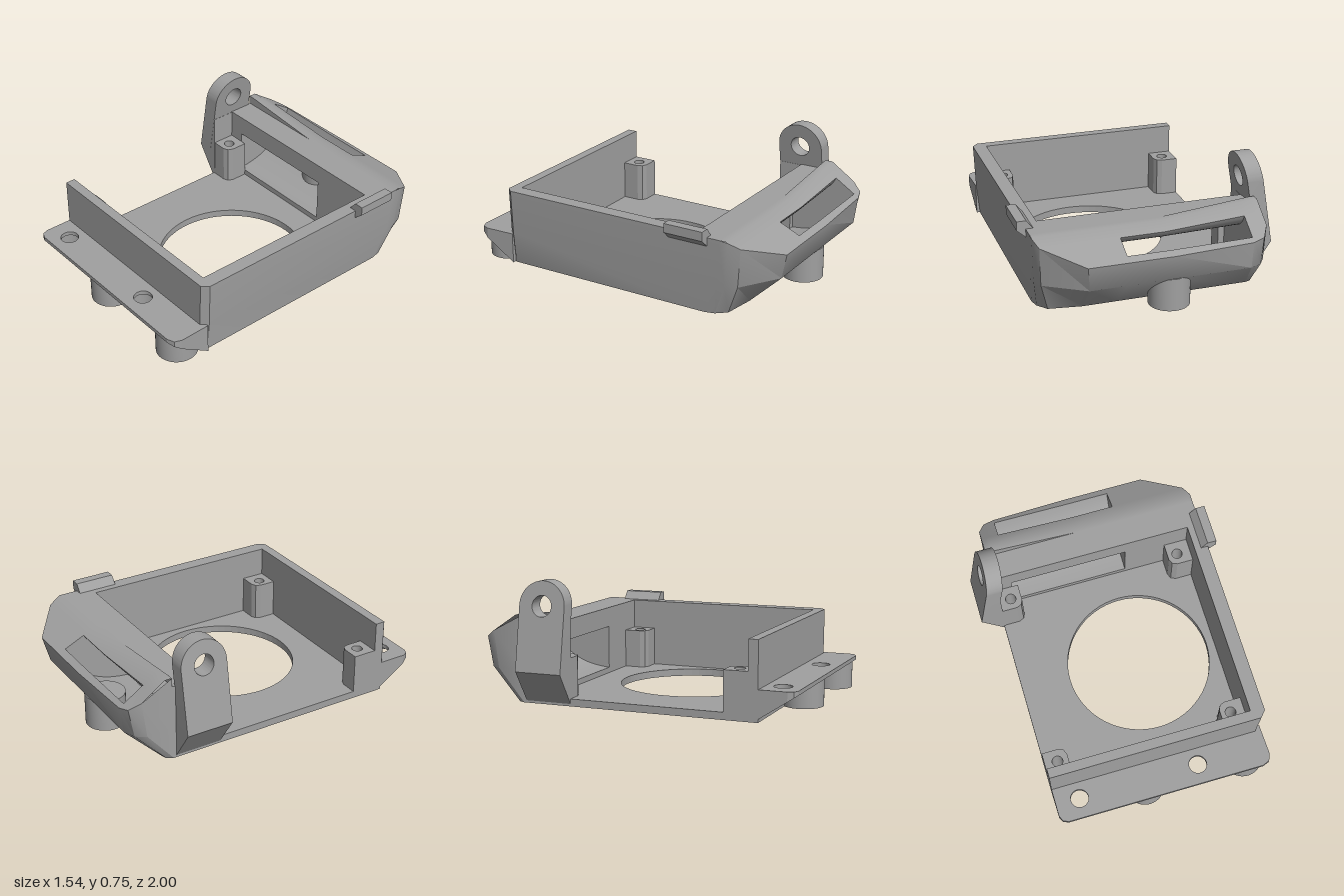
import * as THREE from 'three';
import { toCreasedNormals } from 'three/addons/utils/BufferGeometryUtils.js';

const plastic = new THREE.MeshStandardMaterial({ color: 0xa0a0a0, side: THREE.DoubleSide });
plastic.name = 'grey plastic';

const V = (x, y) => new THREE.Vector2(x, y);
const circle = (x, y, r) => new THREE.Path().absarc(x, y, r, 0, Math.PI * 2, true);

// plan outline (x, z) extruded downward from height top
function slab(points, holes, top, depth) {
  const s = new THREE.Shape(points.map(p => V(...p)));
  s.holes = holes;
  const g = new THREE.ExtrudeGeometry(s, { depth, bevelEnabled: false, curveSegments: 32 });
  return g.rotateX(Math.PI / 2).translate(0, top, 0);
}

// surface from a list of quads, each given by four corners
function quads(list) {
  const pos = [];
  for (const [a, b, c, d] of list) pos.push(...a, ...b, ...c, ...a, ...c, ...d);
  const g = new THREE.BufferGeometry();
  g.setAttribute('position', new THREE.Float32BufferAttribute(pos, 3));
  return toCreasedNormals(g, 0.6);
}

function loft(rows) {
  const list = [];
  for (let i = 0; i < rows.length - 1; i++)
    for (let j = 0; j < rows[i].length - 1; j++)
      list.push([rows[i][j], rows[i][j + 1], rows[i + 1][j + 1], rows[i + 1][j]]);
  return quads(list);
}

const RIM = 0.475, STEP = -0.705;
// sloping rear hood, raised toward the right end
function hoodY(x, z) {
  const ridge = RIM + 0.055 * THREE.MathUtils.clamp((-0.05 - x) / 0.56, 0, 1);
  return ridge + (0.36 - ridge) * THREE.MathUtils.clamp((-0.75 - z) / 0.25, 0, 1);
}

// shell columns: bottom x,z / middle x,z / top x,z
const columns = [
  [-0.64, -0.54, -0.64, -0.54, -0.64, -0.54],
  [-0.64, -0.7, -0.64, -0.704, -0.64, -0.704],
  [-0.64, -0.702, -0.64, -0.706, -0.64, -0.706],
  [-0.62, -0.74, -0.64, -0.87, -0.64, -0.9],
  [-0.59, -0.75, -0.6, -0.93, -0.6, -0.965],
  [-0.53, -0.75, -0.53, -0.96, -0.53, -0.985],
  [-0.05, -0.75, -0.05, -0.96, -0.05, -1],
  [0.22, -0.75, 0.22, -0.96, 0.22, -1],
  [0.42, -0.75, 0.44, -0.96, 0.46, -1],
  [0.62, -0.72, 0.68, -0.81, 0.69, -0.83],
  [0.67, -0.66, 0.705, -0.74, 0.715, -0.76],
  [0.685, -0.6, 0.705, -0.68, 0.715, -0.705],
  [0.685, 0.74, 0.705, 0.74, 0.715, 0.74],
  [0.66, 0.78, 0.67, 0.78, 0.68, 0.78],
  [-0.64, 0.78, -0.64, 0.78, -0.64, 0.78],
];

export function createModel() {
  const model = new THREE.Group();
  const add = (name, geometry) => {
    const m = new THREE.Mesh(geometry, plastic);
    m.name = name;
    model.add(m);
    return m;
  };
  const box = (name, x0, x1, y0, y1, z0, z1) =>
    add(name, new THREE.BoxGeometry(x1 - x0, y1 - y0, z1 - z0)
      .translate((x0 + x1) / 2, (y0 + y1) / 2, (z0 + z1) / 2));

  // outer skin, open on the right side
  add('outerShell', loft(columns.map(c => [
    [c[0], 0, c[1]], [c[2], 0.2, c[3]],
    [c[4], c[5] < STEP ? hoodY(c[4], c[5]) : RIM, c[5]],
  ])));

  // floor with fan opening and rear corner recess
  add('floor', slab(columns.map(c => [c[0], c[1]]),
    [circle(0.125, 0.09, 0.455), circle(0.55, -0.635, 0.075)], 0.045, 0.045));
  add('cornerRecess', new THREE.CircleGeometry(0.08, 32).rotateX(Math.PI / 2).translate(0.55, 0.044, -0.635));

  // inner walls and rim
  box('frontWall', -0.64, 0.64, 0.001, 0.474, 0.72, 0.779);
  box('leftWall', 0.63, 0.683, 0.001, 0.474, -0.54, 0.74);
  const rim = new THREE.Shape([[-0.64, -0.54], [-0.64, STEP], [0.715, STEP], [0.715, 0.74], [0.68, 0.78],
    [-0.64, 0.78], [-0.64, 0.72], [0.63, 0.72], [0.63, -0.54]].map(p => V(...p)));
  add('rim', new THREE.ShapeGeometry(rim).rotateX(Math.PI / 2).translate(0, RIM, 0));

  // rear hood with vent slot
  const X0 = -0.53, X1 = 0.22, stations = columns.slice(3, 11), rows = [STEP, -0.75, -0.83, -0.955, -1];
  const hoodPoint = (c, z) => {
    const zz = Math.max(z, c[5]);
    return [c[4], hoodY(c[4], zz), zz];
  };
  const cells = [];
  for (let i = 0; i < stations.length - 1; i++)
    for (let j = 0; j < 4; j++) {
      const a = stations[i], b = stations[i + 1];
      if (j === 2 && a[4] >= X0 && b[4] <= X1) continue;
      cells.push([hoodPoint(a, rows[j]), hoodPoint(b, rows[j]), hoodPoint(b, rows[j + 1]), hoodPoint(a, rows[j + 1])]);
    }
  add('rearHood', quads(cells));
  add('hoodStep', quads([[[-0.64, RIM, STEP], [-0.05, RIM, STEP], [-0.05, RIM, STEP], [-0.61, 0.53, STEP]],
    [[-0.64, RIM, STEP], [-0.61, RIM, STEP], [-0.61, 0.53, STEP], [-0.64, 0.53, STEP]]]));

  // inner rear wall with window
  const wall = new THREE.Shape([V(-0.64, 0.02), V(0.64, 0.02), V(0.64, RIM), V(-0.64, RIM)]);
  wall.holes.push(new THREE.Path([V(X0, 0.08), V(X0, 0.35), V(X1, 0.35), V(X1, 0.08)]));
  add('rearInnerWall', new THREE.ShapeGeometry(wall).translate(0, 0, -0.54));

  // curved duct from window to slot
  const section = x => {
    const low = new THREE.QuadraticBezierCurve(V(-0.54, 0.08), V(-0.88, 0.1), V(-0.955, hoodY(x, -0.955)));
    const high = new THREE.QuadraticBezierCurve(V(-0.54, 0.35), V(-0.78, 0.34), V(-0.83, hoodY(x, -0.83)));
    return [low, high].map(c => c.getPoints(12).map(p => [x, p.y, p.x]));
  };
  const ends = [X0, -0.05, X1].map(section);
  add('ductFloor', loft(ends.map(e => e[0])));
  add('ductRoof', loft(ends.map(e => e[1])));
  for (const e of [ends[0], ends[2]]) add('ductSide', loft(e));

  // screw posts in the four corners
  for (const sx of [-1, 1])
    for (const sz of [-1, 1]) {
      const cx = sx < 0 ? -0.64 : 0.63, cz = sz < 0 ? -0.54 : 0.72, w = 0.148;
      const at = (u, v) => [cx - sx * u * w, cz - sz * v * w];
      const hx = sx < 0 ? -0.56 : 0.545, hz = sz < 0 ? -0.46 : 0.645;
      add('screwPost', slab([at(0, 0), at(1, 0), at(1, 0.7), at(0.91, 0.91), at(0.7, 1), at(0, 1)],
        [circle(hx, hz, 0.033)], 0.29, 0.25));
    }

  // front flange: thin plate over a wedge with round pockets
  const flange = [[-0.64, 0.75], [0.705, 0.75], [0.71, 0.94], [0.693, 0.982], [0.65, 1], [-0.59, 1], [-0.625, 0.985], [-0.64, 0.95]];
  const holesX = [-0.49, 0.265];
  add('flangePlate', slab(flange, holesX.map(x => circle(x, 0.88, 0.055)), 0.19, 0.025));
  const wedge = slab(flange, holesX.map(x => circle(x, 0.88, 0.094)), 0.165, 0.165);
  const p = wedge.attributes.position;
  for (let i = 0; i < p.count; i++)
    if (p.getY(i) < 0.08) p.setY(i, Math.max(0, (p.getZ(i) - 0.75) / 0.25 * 0.165));
  wedge.computeVertexNormals();
  add('flangeWedge', wedge);

  // feet with recessed undersides
  for (const [x, z, h] of [[-0.07, 0.872, 0.18], [0.57, 0.872, 0.18], [-0.07, -0.845, 0.2]]) {
    const profile = [V(0, 0.035), V(0.085, 0.035), V(0.085, 0), V(0.123, 0), V(0.123, h), V(0, h)];
    add('foot', toCreasedNormals(new THREE.LatheGeometry(profile, 40), 0.6).translate(x, 0, z));
  }

  // leaning hinge lug with ring top
  const lug = new THREE.Shape();
  lug.moveTo(-0.148, 0.21).lineTo(0.148, 0.21).lineTo(0.148, 0.6);
  lug.absarc(0, 0.6, 0.148, 0, Math.PI, false);
  lug.closePath();
  lug.holes.push(circle(0, 0.6, 0.063));
  const lugGeo = new THREE.ExtrudeGeometry(lug, { depth: 0.1, bevelEnabled: false, curveSegments: 28 });
  lugGeo.rotateY(-Math.PI / 2).translate(-0.675, 0, -0.537);
  const lp = lugGeo.attributes.position;
  for (let i = 0; i < lp.count; i++) lp.setX(i, lp.getX(i) + (lp.getY(i) - 0.21) * 0.168);
  lugGeo.computeVertexNormals();
  add('hingeLug', toCreasedNormals(lugGeo, 0.6));

  // profiles (x, y) extruded along z
  const bar = (name, pts, z0, z1) =>
    add(name, new THREE.ExtrudeGeometry(new THREE.Shape(pts.map(q => V(...q))),
      { depth: z1 - z0, bevelEnabled: false }).translate(0, 0, z0));
  bar('lugGusset', [[-0.63, 0], [-0.63, 0.47], [-0.73, 0.47], [-0.774, 0.21]], -0.684, -0.39);
  bar('latch', [[0.66, 0.44], [0.71, 0.42], [0.767, 0.47], [0.767, 0.525], [0.71, 0.525], [0.67, 0.475]], -0.63, -0.38);

  return model;
}
